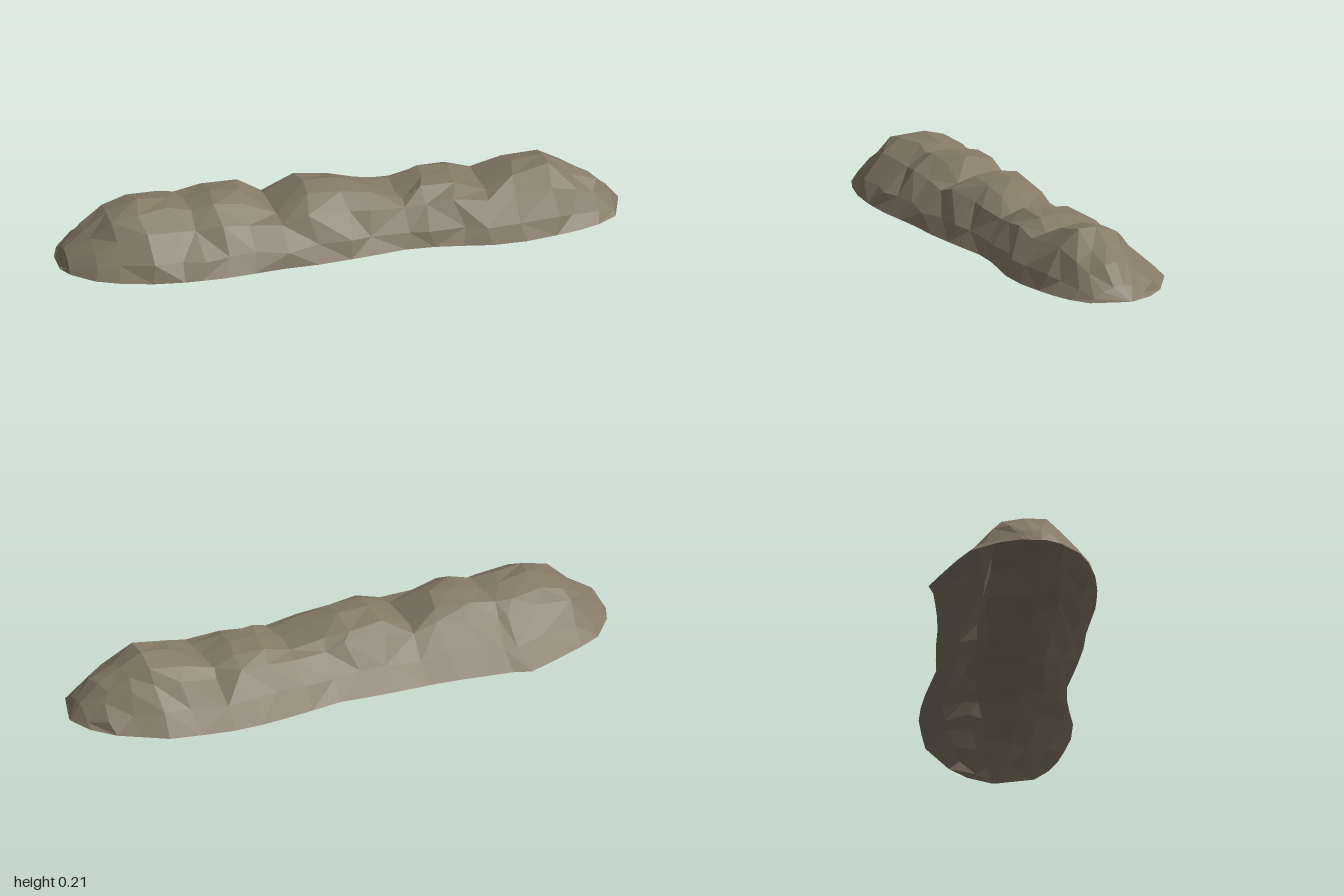
import * as THREE from 'three';

// Stations along the ridge: x, back z, front z, ridge z, ridge height
const stations = [
  [-1, 0, 0.09, 0.045, 0], [-0.975, -0.07, 0.14, 0.04, 0.05],
  [-0.9, -0.17, 0.21, 0.03, 0.108], [-0.82, -0.21, 0.245, 0.02, 0.165],
  [-0.71, -0.255, 0.275, 0.02, 0.203], [-0.6, -0.297, 0.288, 0.01, 0.188],
  [-0.54, -0.277, 0.29, 0.01, 0.175], [-0.45, -0.265, 0.29, 0.02, 0.205],
  [-0.35, -0.253, 0.28, 0.03, 0.2], [-0.24, -0.245, 0.27, 0.04, 0.135],
  [-0.12, -0.243, 0.268, 0.02, 0.205], [0, -0.237, 0.256, 0.02, 0.2],
  [0.09, -0.23, 0.245, 0.03, 0.172], [0.2, -0.245, 0.23, 0.05, 0.135],
  [0.3, -0.258, 0.235, 0.03, 0.172], [0.4, -0.266, 0.25, 0.03, 0.172],
  [0.5, -0.267, 0.268, 0.04, 0.138], [0.62, -0.25, 0.268, 0.03, 0.195],
  [0.73, -0.23, 0.25, 0.03, 0.206], [0.81, -0.185, 0.233, 0.03, 0.162],
  [0.89, -0.14, 0.205, 0.03, 0.118], [0.96, -0.07, 0.16, 0.03, 0.05],
  [1, 0.015, 0.03, 0.02, 0],
];

// Cross-section from front rim over the ridge to back rim: z share, height share
const section = [
  [1, 0], [0.88, 0.3], [0.6, 0.7], [0.3, 0.95], [0, 1],
  [-0.3, 0.88], [-0.45, 0.69], [-0.72, 0.31], [-1, 0],
];

// Small repeatable unevenness in the range -1..1
function rough(i, j) {
  const n = Math.sin(i * 127.1 + j * 311.7) * 43758.5453;
  return 2 * (n - Math.floor(n)) - 1;
}

function moundGeometry() {
  const positions = [];
  const indices = [];
  const cols = section.length;
  stations.forEach(([x, back, front, ridge, top], i) => {
    // Notches cut the ridge but leave the lower flanks full
    const body = Math.abs(x) < 0.65 ? (top + 0.2) / 2 : top;
    section.forEach(([s, h], j) => {
      const inner = h > 0 && h < 1 && top > 0.1 ? 1 : 0;
      const z = ridge + (s > 0 ? s * (front - ridge) : s * (ridge - back));
      positions.push(
        x + inner * rough(i, j) * 0.02,
        Math.min(top, h * body * (1 + inner * rough(j, i + 5) * 0.07)),
        z + inner * rough(i + 9, j) * 0.012,
      );
    });
  });
  // Triangles with varied diagonals for a rocky look
  for (let i = 0; i < stations.length - 1; i++) {
    for (let j = 0; j < cols - 1; j++) {
      const a = i * cols + j, b = a + cols, c = b + 1, d = a + 1;
      if (rough(i, j + 20) > 0) indices.push(a, b, c, a, c, d);
      else indices.push(a, b, d, b, c, d);
    }
  }
  const indexed = new THREE.BufferGeometry();
  indexed.setAttribute('position', new THREE.Float32BufferAttribute(positions, 3));
  indexed.setIndex(indices);
  const geometry = indexed.toNonIndexed();
  geometry.computeVertexNormals();
  return geometry;
}

export function createModel() {
  const stone = new THREE.MeshStandardMaterial({
    color: 0x857a66, flatShading: true, side: THREE.DoubleSide,
  });
  stone.name = 'stone';

  // Open-bottomed rocky ridge
  const mound = new THREE.Mesh(moundGeometry(), stone);
  mound.name = 'rockMound';

  const group = new THREE.Group();
  group.name = 'rockRidge';
  group.add(mound);
  return group;
}
